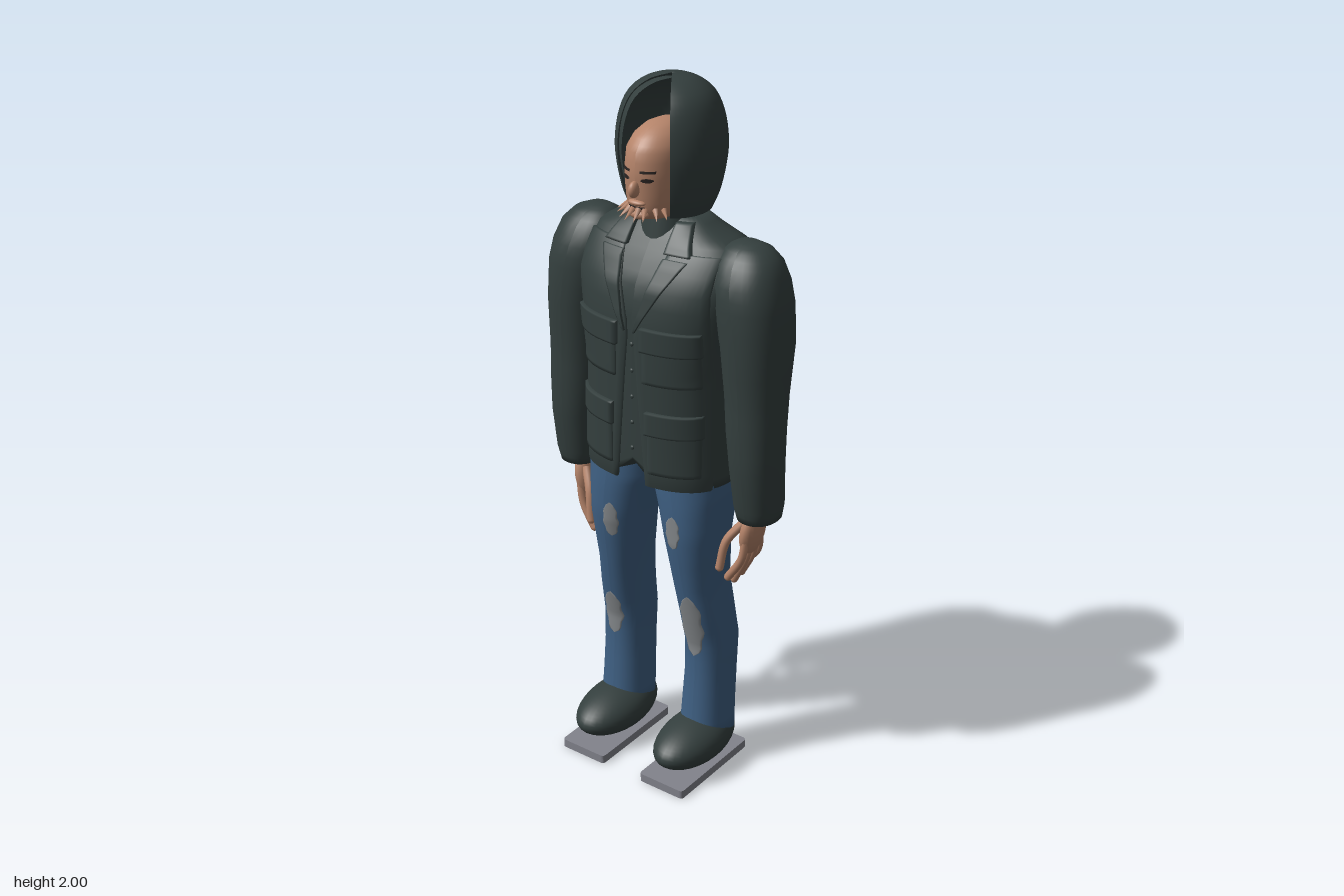
import * as THREE from 'three';

const mat = (name, color, side = THREE.FrontSide) => {
  const m = new THREE.MeshStandardMaterial({ color, side });
  m.name = name;
  return m;
};

// Cross-sections, bottom to top: [y, centre x, centre z, radius x, radius z]
const TORSO = [
  [0.925, 0, -0.03, 0.22, 0.155], [0.975, 0, -0.03, 0.218, 0.156], [1.1, 0, -0.03, 0.216, 0.157],
  [1.25, 0, -0.03, 0.215, 0.158], [1.4, 0, -0.032, 0.235, 0.158], [1.48, 0, -0.04, 0.255, 0.15],
  [1.54, 0, -0.05, 0.255, 0.126], [1.585, 0, -0.055, 0.22, 0.1], [1.615, 0, -0.055, 0.15, 0.078],
  [1.645, 0, -0.055, 0.1, 0.055],
];
const ARM = [
  [0.84, 0.302, -0.037, 0.056, 0.066], [0.88, 0.302, -0.033, 0.064, 0.072], [1.0, 0.3, -0.022, 0.07, 0.078],
  [1.1, 0.295, -0.022, 0.076, 0.082], [1.2, 0.291, -0.027, 0.08, 0.088], [1.34, 0.285, -0.035, 0.09, 0.105],
  [1.45, 0.27, -0.036, 0.1, 0.107], [1.51, 0.258, -0.038, 0.1, 0.1], [1.56, 0.25, -0.042, 0.088, 0.08],
  [1.59, 0.245, -0.046, 0.063, 0.055], [1.605, 0.24, -0.05, 0.03, 0.025],
];
const LEG = [
  [0.1, 0.142, -0.033, 0.073, 0.082], [0.2, 0.142, -0.04, 0.07, 0.08], [0.3, 0.143, -0.047, 0.067, 0.08],
  [0.4, 0.143, -0.05, 0.068, 0.083], [0.5, 0.138, -0.032, 0.067, 0.087], [0.6, 0.13, -0.016, 0.067, 0.091],
  [0.75, 0.125, -0.002, 0.083, 0.103], [0.84, 0.117, -0.01, 0.097, 0.114], [0.9, 0.109, -0.015, 0.109, 0.118],
  [1.02, 0.105, -0.018, 0.108, 0.115],
];
const HEAD = [
  [1.65, 0, 0.015, 0.045, 0.06], [1.67, 0, 0.012, 0.066, 0.086], [1.7, 0, 0.008, 0.075, 0.095],
  [1.74, 0, 0.004, 0.079, 0.103], [1.78, 0, 0.0, 0.08, 0.11], [1.83, 0, -0.002, 0.076, 0.106],
  [1.86, 0, -0.008, 0.063, 0.09], [1.88, 0, -0.014, 0.043, 0.064], [1.89, 0, -0.02, 0.02, 0.03],
];

// Blend of the two cross-sections around a height
function sectionAt(rings, y) {
  let i = 0;
  while (i < rings.length - 2 && y > rings[i + 1][0]) i++;
  const t = THREE.MathUtils.clamp((y - rings[i][0]) / (rings[i + 1][0] - rings[i][0]), 0, 1);
  return rings[i].map((v, k) => v + (rings[i + 1][k] - v) * t);
}

function frontZ(rings, x, y, n) {
  const [, cx, cz, rx, rz] = sectionAt(rings, y);
  const u = Math.min(1, Math.abs((x - cx) / rx));
  return cz + rz * Math.pow(1 - Math.pow(u, n), 1 / n);
}

function gridIndex(rows, cols) {
  const index = [];
  for (let i = 0; i < rows; i++) for (let j = 0; j < cols; j++) {
    const a = i * (cols + 1) + j, b = a + cols + 1;
    index.push(a, a + 1, b + 1, a, b + 1, b);
  }
  return index;
}

function surface(pos, index) {
  const g = new THREE.BufferGeometry();
  g.setAttribute('position', new THREE.Float32BufferAttribute(pos, 3));
  g.setIndex(index);
  g.computeVertexNormals();
  return g;
}

// Closed skin over cross-sections; s = -1 mirrors it, bend may move a point
function loft(rings, n, s = 1, bend = null) {
  const N = 40, pos = [];
  const full = [];
  rings.forEach((r, i) => {
    full.push(r);
    if (i < rings.length - 1) full.push(sectionAt(rings, (r[0] + rings[i + 1][0]) / 2));
  });
  const pinch = (r) => [r[0], r[1], r[2], 0, 0];
  const all = [pinch(full[0]), ...full, pinch(full[full.length - 1])];
  for (const [y, cx, cz, rx, rz] of all) for (let j = 0; j <= N; j++) {
    const a = (j / N) * Math.PI * 2, sn = Math.sin(a), c = Math.cos(a);
    const p = new THREE.Vector3(
      s * cx + rx * Math.sign(sn) * Math.pow(Math.abs(sn), 2 / n), y,
      cz + rz * Math.sign(c) * Math.pow(Math.abs(c), 2 / n));
    if (bend) bend(p);
    pos.push(p.x, p.y, p.z);
  }
  return surface(pos, gridIndex(all.length - 1, N));
}

// Raised patch lying on the front of a loft; span(t) gives its inner and outer x
function patch(rings, n, s, y0, y1, span, base, lift) {
  const R = 14, C = 10, pos = [];
  for (let i = 0; i <= R + 2; i++) {
    const t = THREE.MathUtils.clamp((i - 1) / R, 0, 1), y = y0 + (y1 - y0) * t;
    const [a, b] = span(t);
    for (let j = 0; j <= C + 2; j++) {
      const k = THREE.MathUtils.clamp((j - 1) / C, 0, 1);
      const x = s > 0 ? a + (b - a) * k : b + (a - b) * k;
      const rim = i === 0 || j === 0 || i === R + 2 || j === C + 2;
      pos.push(s * x, y, frontZ(rings, x, y, n) + base + (rim ? 0 : lift));
    }
  }
  return surface(pos, gridIndex(R + 2, C + 2));
}

export function createModel() {
  const model = new THREE.Group();
  const cloth = mat('dark cloth', 0x343f3e, THREE.DoubleSide);
  const denim = mat('blue denim', 0x3f6083);
  const skin = mat('skin', 0xb5846a);
  const worn = mat('worn grey', 0x85898c);
  const plate = mat('plate grey', 0x82838c);
  const dark = mat('dark features', 0x2a2422);

  const add = (name, geo, material, parent = model) => {
    const m = new THREE.Mesh(geo, material);
    m.name = name;
    parent.add(m);
    return m;
  };
  const ball = (name, material, p, r) => {
    const m = add(name, new THREE.SphereGeometry(1, 24, 16), material);
    m.position.set(...p);
    m.scale.set(...r);
    return m;
  };
  const tube = (name, pts, r, parent) => {
    const path = new THREE.CatmullRomCurve3(pts.map((p) => new THREE.Vector3(...p)));
    add(name, new THREE.TubeGeometry(path, 12, r, 8), skin, parent);
    const tip = add(name + 'Tip', new THREE.SphereGeometry(r, 8, 6), skin, parent);
    tip.position.set(...pts[pts.length - 1]);
  };
  const box = (a, b) => () => [a, b];
  const oval = (c, w) => (t) => {
    const h = w * Math.sqrt(Math.max(0, 1 - (2 * t - 1) ** 2)) * (1 + 0.1 * Math.sin(t * 19));
    return [c - h, c + h];
  };

  // Jacket body, with the hem raised at the front opening
  add('jacketBody', loft(TORSO, 2.5, 1, (p) => {
    if (p.z > 0.05 && p.y < 1) p.y += Math.max(0, 1 - (p.x / 0.06) ** 2) * 0.06 * (1 - (p.y - 0.925) / 0.08);
  }), cloth);

  for (const s of [1, -1]) {
    const side = s > 0 ? 'left' : 'right';
    const sewn = (name, y0, y1, span, base, lift) =>
      add(side + name, patch(TORSO, 2.5, s, y0, y1, span, base, lift), cloth);

    // Jacket front, lapel, pockets and flaps
    sewn('JacketFront', 0.922, 1.57, (t) => [0.048 - 0.036 * Math.min(1, t * 1.5) + 0.06 * Math.max(0, t - 0.7) / 0.3, 0.205], 0, 0.01);
    sewn('Lapel', 1.36, 1.555, (t) => [0.014 + 0.05 * t, 0.018 + 0.115 * t], 0.01, 0.007);
    sewn('CollarLeaf', 1.565, 1.635, (t) => [0.06, 0.135 - 0.035 * t], 0, 0.014);
    for (const [y0, y1, a, b] of [[1.225, 1.38, 0.045, 0.19], [0.965, 1.145, 0.06, 0.19]]) {
      sewn('Pocket', y0, y1 - 0.03, box(a, b), 0.009, 0.008);
      sewn('PocketFlap', y1 - 0.065, y1, box(a - 0.006, b + 0.004), 0.009, 0.014);
    }
    add(side + 'Sleeve', loft(ARM, 2.2, s), cloth);

    // Jeans with worn patches
    add(side + 'Trouser', loft(LEG, 2.2, s), denim);
    const holes = s > 0
      ? [[0.115, 0.785, 0.022, 0.05], [0.142, 0.475, 0.033, 0.105]]
      : [[0.1, 0.755, 0.02, 0.055], [0.14, 0.415, 0.028, 0.073]];
    for (const [x, y, w, h] of holes)
      add(side + 'WornPatch', patch(LEG, 2.2, s, y - h, y + h, oval(x, w), 0.001, 0.003), worn);

    // Shoe with a flattened sole, on a flat foot plate
    const shoe = new THREE.SphereGeometry(1, 32, 24);
    const v = shoe.attributes.position;
    for (let i = 0; i < v.count; i++) {
      const z = v.getZ(i), y = v.getY(i) * (1 - 0.1 * z);
      v.setXYZ(i, v.getX(i) * 0.089, Math.max(-0.062, y * 0.069), z * 0.158);
    }
    shoe.computeVertexNormals();
    add(side + 'Shoe', shoe, cloth).position.set(s * 0.14, 0.091, 0.027);
    const outline = new THREE.Shape();
    outline.moveTo(-0.063, -0.16).lineTo(0.063, -0.16).quadraticCurveTo(0.075, -0.16, 0.075, -0.148);
    outline.lineTo(0.075, 0.148).quadraticCurveTo(0.075, 0.16, 0.063, 0.16).lineTo(-0.063, 0.16);
    outline.quadraticCurveTo(-0.075, 0.16, -0.075, 0.148).lineTo(-0.075, -0.148).quadraticCurveTo(-0.075, -0.16, -0.063, -0.16);
    const base = new THREE.ExtrudeGeometry(outline, { depth: 0.025, bevelEnabled: false });
    base.rotateX(-Math.PI / 2);
    add(side + 'FootPlate', base, plate).position.set(s * 0.14, 0, 0.03);

    // Hand: palm, four fanned fingers and a thumb
    const hand = new THREE.Group();
    hand.name = side + 'Hand';
    model.add(hand);
    const palm = add('palm', new THREE.SphereGeometry(1, 20, 14), skin, hand);
    palm.position.set(s * 0.283, 0.79, -0.035);
    palm.scale.set(0.027, 0.075, 0.05);
    palm.rotation.z = -s * 0.15;
    [[0.0, 0.005, 0.645], [-0.024, -0.025, 0.625], [-0.048, -0.06, 0.632], [-0.068, -0.09, 0.66]].forEach(([z0, z1, y]) =>
      tube('finger', [[s * 0.284, 0.775, z0], [s * 0.272, 0.71, (z0 + z1) / 2], [s * 0.232, y, z1]], 0.0115, hand));
    tube('thumb', [[s * 0.27, 0.82, -0.01], [s * 0.235, 0.765, 0.02], [s * 0.222, 0.685, 0.032]], 0.0125, hand);

    // Eye and brow
    add(side + 'Eye', patch(HEAD, 2, s, 1.757, 1.768, oval(0.032, 0.014), 0.001, 0.002), dark);
    add(side + 'Brow', patch(HEAD, 2, s, 1.781, 1.787, box(0.016, 0.05), 0.001, 0.002), dark);

    // Tufts along the jaw
    for (const [x, z, out] of [[0.066, 0.07, 0.02], [0.052, 0.09, 0.022], [0.03, 0.112, 0.024], [0.011, 0.12, 0.022]]) {
      const tuft = add(side + 'JawTuft', new THREE.ConeGeometry(0.009, 0.04, 6), skin);
      tuft.position.set(s * x, 1.672, z);
      tuft.quaternion.setFromUnitVectors(new THREE.Vector3(0, 1, 0),
        new THREE.Vector3(s * x * 0.4, -0.018, out).normalize());
    }
  }

  // Shirt buttons
  for (let i = 0; i < 5; i++) ball('button', cloth, [0, 1.02 + i * 0.075, 0.127], [0.006, 0.006, 0.004]);

  // Neck and collar
  add('neck', new THREE.CylinderGeometry(0.055, 0.06, 0.16, 24), skin).position.set(0, 1.65, -0.045);
  const collar = add('shirtCollar', new THREE.CylinderGeometry(0.066, 0.08, 0.08, 28, 1, true), cloth);
  collar.position.set(0, 1.62, -0.035);

  // Head and face
  add('head', loft(HEAD, 2), skin);
  ball('nose', skin, [0, 1.737, 0.112], [0.013, 0.022, 0.019]);
  ball('upperLip', skin, [0, 1.7, 0.1], [0.026, 0.008, 0.014]);
  ball('chin', skin, [0, 1.668, 0.092], [0.03, 0.014, 0.018]);
  add('mouth', patch(HEAD, 2, 1, 1.684, 1.69, box(-0.024, 0.024), 0.002, 0.004), dark);

  // Hood, open at the front in a wedge
  const outer = new THREE.SplineCurve([[0.106, 1.652], [0.126, 1.7], [0.141, 1.77], [0.145, 1.83], [0.135, 1.9],
    [0.109, 1.956], [0.06, 1.99], [0.0001, 2.0]].map((p) => new THREE.Vector2(...p))).getPoints(24);
  const inner = outer.map((p) => new THREE.Vector2(Math.max(0.0001, p.x - 0.011), 1.652 + (p.y - 1.652) * 0.965)).reverse();
  const gap = 0.6;
  const hood = add('hood', new THREE.LatheGeometry([...outer, ...inner], 48, gap, Math.PI * 2 - gap * 2), cloth);
  hood.position.z = -0.047;

  return model;
}
